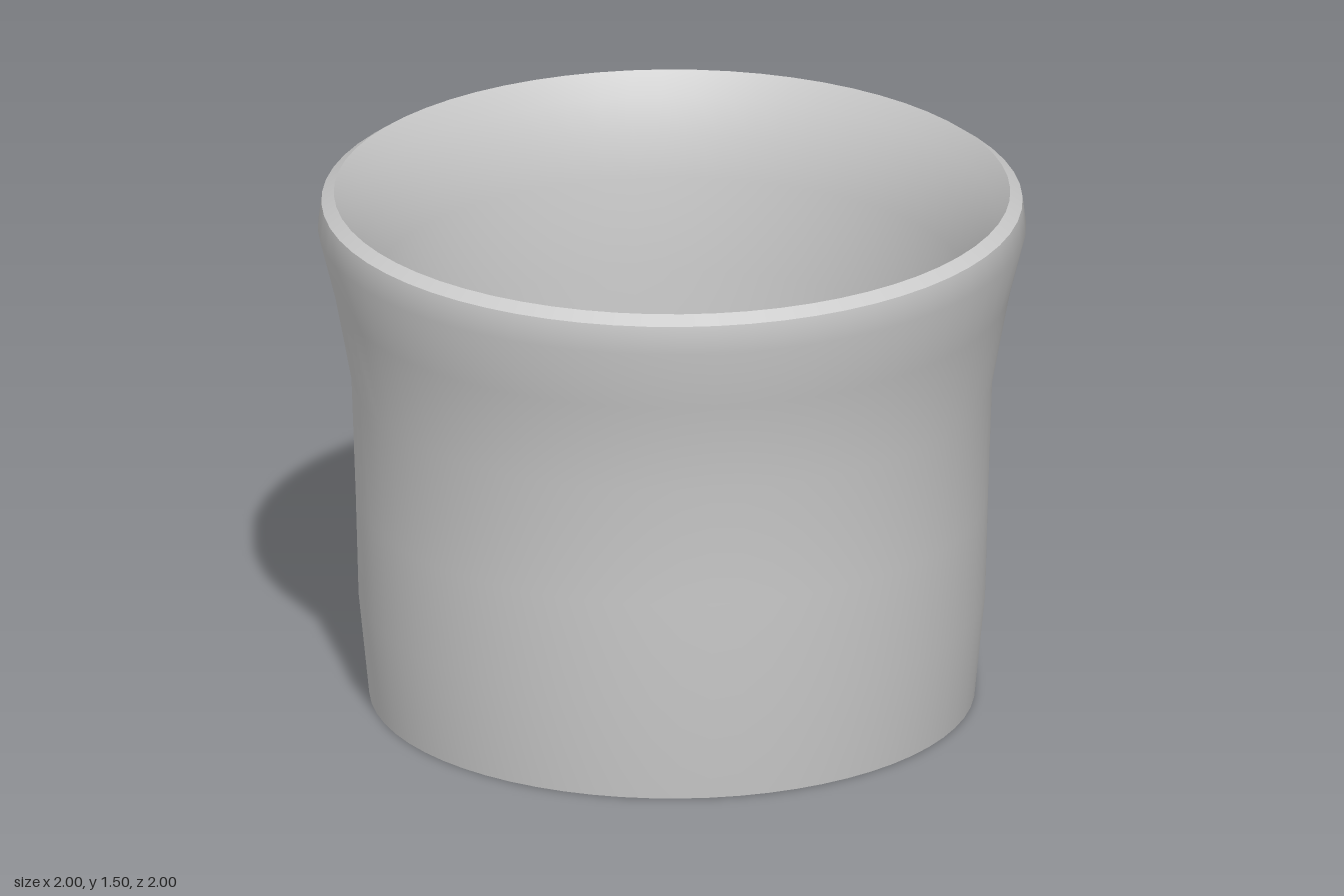
import * as THREE from 'three';

export function createModel() {
  const group = new THREE.Group();
  group.name = 'flaredSleeve';
  const grey = new THREE.MeshStandardMaterial({ color: 0xcacaca });
  grey.name = 'plain grey';

  // Each band is its own lathe, so walls are smooth and rim edges stay sharp
  const band = (name, profile) => {
    const points = profile.map(([r, y]) => new THREE.Vector2(r, y));
    const mesh = new THREE.Mesh(new THREE.LatheGeometry(points, 64), grey);
    mesh.name = name;
    group.add(mesh);
  };

  // Outer wall: slight taper at the foot, flare towards the mouth
  band('outerWall', [[0.855, 0], [0.885, 0.3], [0.893, 0.6], [0.905, 0.95],
    [0.955, 1.22], [1.0, 1.4], [0.99, 1.48]]);
  // Bevelled lip
  band('lip', [[0.99, 1.48], [0.955, 1.505]]);
  // Inner wall: a rounded funnel below the lip, then nearly straight
  band('innerWall', [[0.955, 1.505], [0.914, 1.44], [0.872, 1.34], [0.845, 1.22],
    [0.815, 0.95], [0.81, 0.6], [0.805, 0.3], [0.787, 0]]);
  // Flat ring under the foot
  band('footRing', [[0.787, 0], [0.855, 0]]);

  return group;
}
